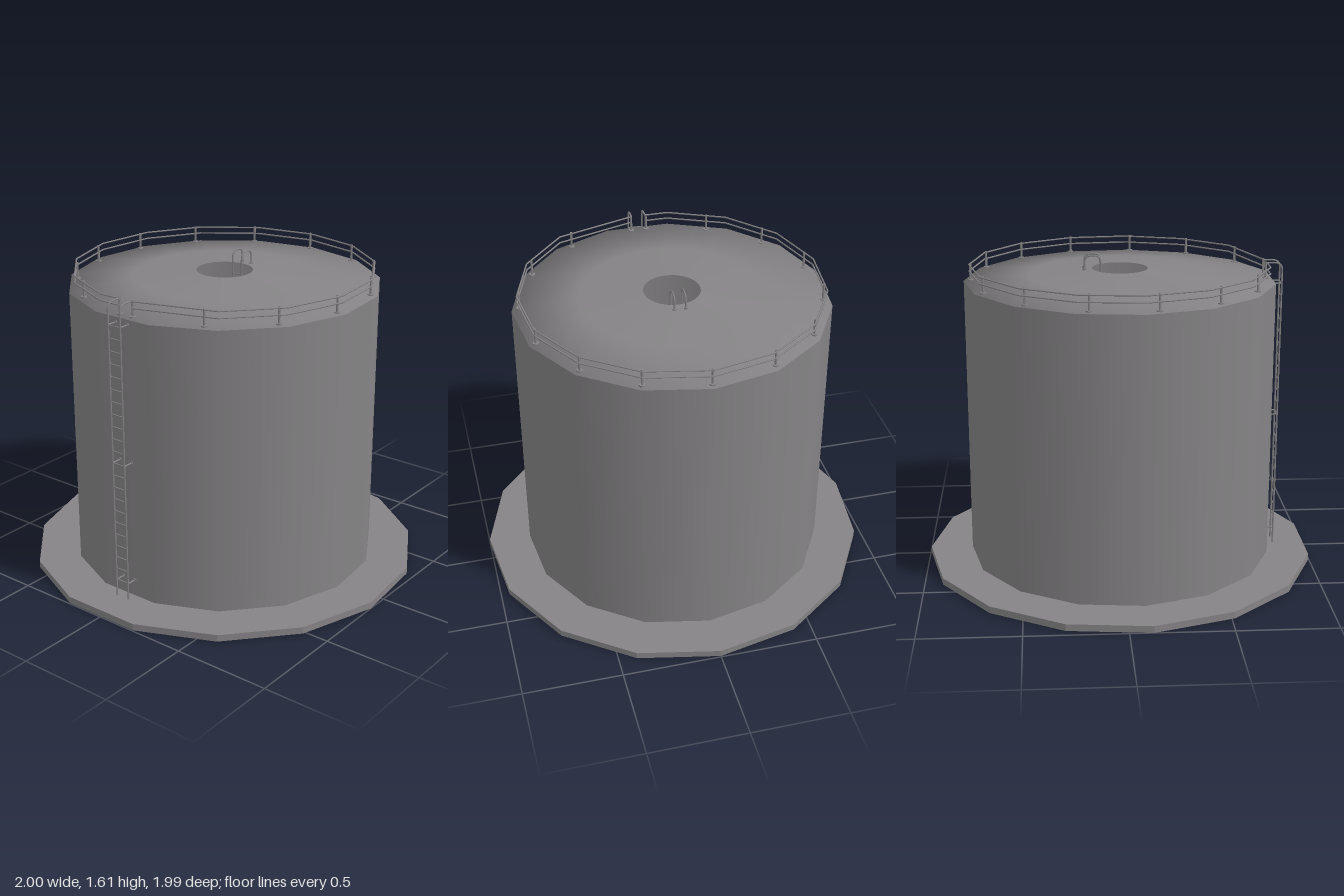
import * as THREE from 'three';

const SIDES = 15, STEP = (Math.PI * 2) / SIDES;
const TANK_R = 0.787, RAIL_R = 0.758, RIM_Y = 1.478, BASE_Y = 0.035;
const V = (x, y, z) => new THREE.Vector3(x, y, z);

// point on a 15-sided ring, angle measured from the back (-z)
function ringPoint(radius, angle, y) {
  const a = THREE.MathUtils.euclideanModulo(angle, STEP) - STEP / 2;
  const r = (radius * Math.cos(STEP / 2)) / Math.cos(a);
  return V(Math.sin(angle) * r, y, -Math.cos(angle) * r);
}

function polygon(radius, Type) {
  const p = new Type();
  for (let i = 0; i < SIDES; i++) {
    const x = Math.sin(i * STEP) * radius, y = Math.cos(i * STEP) * radius;
    if (i) p.lineTo(x, y); else p.moveTo(x, y);
  }
  p.closePath();
  return p;
}

export function createModel() {
  const model = new THREE.Group();
  model.name = 'storageTank';
  const steel = new THREE.MeshStandardMaterial({ color: 0x858385, side: THREE.DoubleSide });
  steel.name = 'grey steel';

  const tank = new THREE.Group();
  tank.name = 'tank';
  tank.position.z = 0.011;
  model.add(tank);

  function add(parent, name, geometry) {
    const mesh = new THREE.Mesh(geometry, steel);
    mesh.name = name;
    parent.add(mesh);
    return mesh;
  }
  // straight round bar between two points
  function bar(parent, name, a, b, r) {
    const m = add(parent, name, new THREE.CylinderGeometry(r, r, a.distanceTo(b), 8));
    m.position.copy(a).add(b).multiplyScalar(0.5);
    m.quaternion.setFromUnitVectors(V(0, 1, 0), b.clone().sub(a).normalize());
    return m;
  }
  // pipe with rounded corners
  function pipe(parent, name, points, bend, r) {
    const path = new THREE.CurvePath();
    let start = points[0];
    for (let i = 1; i < points.length - 1; i++) {
      const p = points[i];
      const a = p.clone().add(points[i - 1].clone().sub(p).setLength(bend));
      const b = p.clone().add(points[i + 1].clone().sub(p).setLength(bend));
      path.add(new THREE.LineCurve3(start, a));
      path.add(new THREE.QuadraticBezierCurve3(a, p, b));
      start = b;
    }
    path.add(new THREE.LineCurve3(start, points[points.length - 1]));
    add(parent, name, new THREE.TubeGeometry(path, 160, r, 6, false));
  }

  // foundation ring
  const ring = polygon(1.0055, THREE.Shape);
  ring.holes.push(polygon(TANK_R - 0.004, THREE.Path));
  const ringGeo = new THREE.ExtrudeGeometry(ring, { depth: BASE_Y, bevelEnabled: false });
  add(tank, 'foundationRing', ringGeo.rotateX(-Math.PI / 2));

  // wall and floor
  const wall = add(tank, 'wall',
    new THREE.CylinderGeometry(TANK_R, TANK_R, RIM_Y - BASE_Y, SIDES, 1, true, Math.PI));
  wall.position.y = (RIM_Y + BASE_Y) / 2;
  const floor = add(tank, 'floor', new THREE.CircleGeometry(TANK_R, SIDES, Math.PI / 2));
  floor.rotation.x = Math.PI / 2;
  floor.scale.y = -1;
  floor.geometry.rotateX(Math.PI);
  floor.position.y = BASE_Y - 0.002;

  // shallow roof: 15-sided at the rim, round at the open hatch
  const roofGeo = new THREE.LatheGeometry([
    new THREE.Vector2(TANK_R, RIM_Y), new THREE.Vector2(0.46, 1.508), new THREE.Vector2(0.142, 1.535),
  ], SIDES * 2, Math.PI);
  const pos = roofGeo.attributes.position, nor = roofGeo.attributes.normal;
  for (let i = 0; i < pos.count; i++) {
    const x = pos.getX(i), z = pos.getZ(i), r = Math.hypot(x, z);
    if (r < 0.7) continue;
    const p = ringPoint(TANK_R, Math.atan2(x, -z) + 1e-6, RIM_Y);
    pos.setXYZ(i, p.x, p.y, p.z);
    const n = V(x / r, 0.7, z / r).normalize(); // softened rim
    nor.setXYZ(i, n.x, n.y, n.z);
  }
  add(tank, 'roof', roofGeo);

  // guard rail, open at the front for the ladder
  const railing = new THREE.Group();
  railing.name = 'railing';
  tank.add(railing);
  const gap = 0.051; // half angle of the opening
  const angles = [Math.PI + gap];
  for (let i = 8; i < 22; i++) angles.push((i + 0) * STEP);
  angles.push(3 * Math.PI - gap);
  for (const y of [1.56, 1.527]) {
    for (let i = 0; i < angles.length - 1; i++) {
      const a = ringPoint(RAIL_R, angles[i] + 1e-6, y), b = ringPoint(RAIL_R, angles[i + 1] + 1e-6, y);
      if (a.distanceTo(b) > 1e-4) bar(railing, 'rail', a, b, 0.004);
    }
  }
  const postDegrees = [0, 24.3, 48, 72, 97.5, 122.5, 149, 176.9,
    -25.3, -50.5, -75.9, -101, -126.4, -151.7, -176.9];
  for (const d of postDegrees) {
    const a = THREE.MathUtils.degToRad(d);
    const foot = ringPoint(RAIL_R - 0.006, a, RIM_Y), top = foot.clone().setY(1.567);
    bar(railing, 'post', foot, top, 0.006);
    bar(railing, 'postFoot', foot, foot.clone().setY(RIM_Y + 0.009), 0.016);
  }

  // outside ladder, its side rails bending over onto the guard rail
  const ladder = new THREE.Group();
  ladder.name = 'outsideLadder';
  model.add(ladder);
  for (const x of [-0.037, 0.037]) {
    pipe(ladder, 'sideRail', [V(x, 0, 0.832), V(x, 1.56, 0.832), V(x, 1.56, 0.752)], 0.04, 0.0045);
    for (const y of [0.122, 0.757, 1.453]) {
      bar(ladder, 'bracket', V(x, y, 0.832), V(x, y, 0.778), 0.004);
      bar(ladder, 'bracketPlate', V(x, y, 0.779), V(x, y, 0.785), 0.01);
    }
  }
  for (let i = 0; i < 22; i++) {
    const y = 0.125 + i * 0.0632;
    bar(ladder, 'rung', V(-0.037, y, 0.832), V(0.037, y, 0.832), 0.003);
  }

  // inside ladder, hooked over the edge of the roof hatch
  const inner = new THREE.Group();
  inner.name = 'insideLadder';
  model.add(inner);
  for (const x of [-0.024, 0.032]) {
    pipe(inner, 'sideRail',
      [V(x, 0.03, -0.087), V(x, 1.604, -0.087), V(x, 1.604, -0.168), V(x, 1.525, -0.168)], 0.035, 0.0045);
    bar(inner, 'hookFoot', V(x, 1.53, -0.168), V(x, 1.539, -0.168), 0.01);
  }
  for (let i = 0; i < 23; i++) {
    const y = 0.1 + i * 0.0632;
    bar(inner, 'rung', V(-0.024, y, -0.087), V(0.032, y, -0.087), 0.003);
  }
  return model;
}
